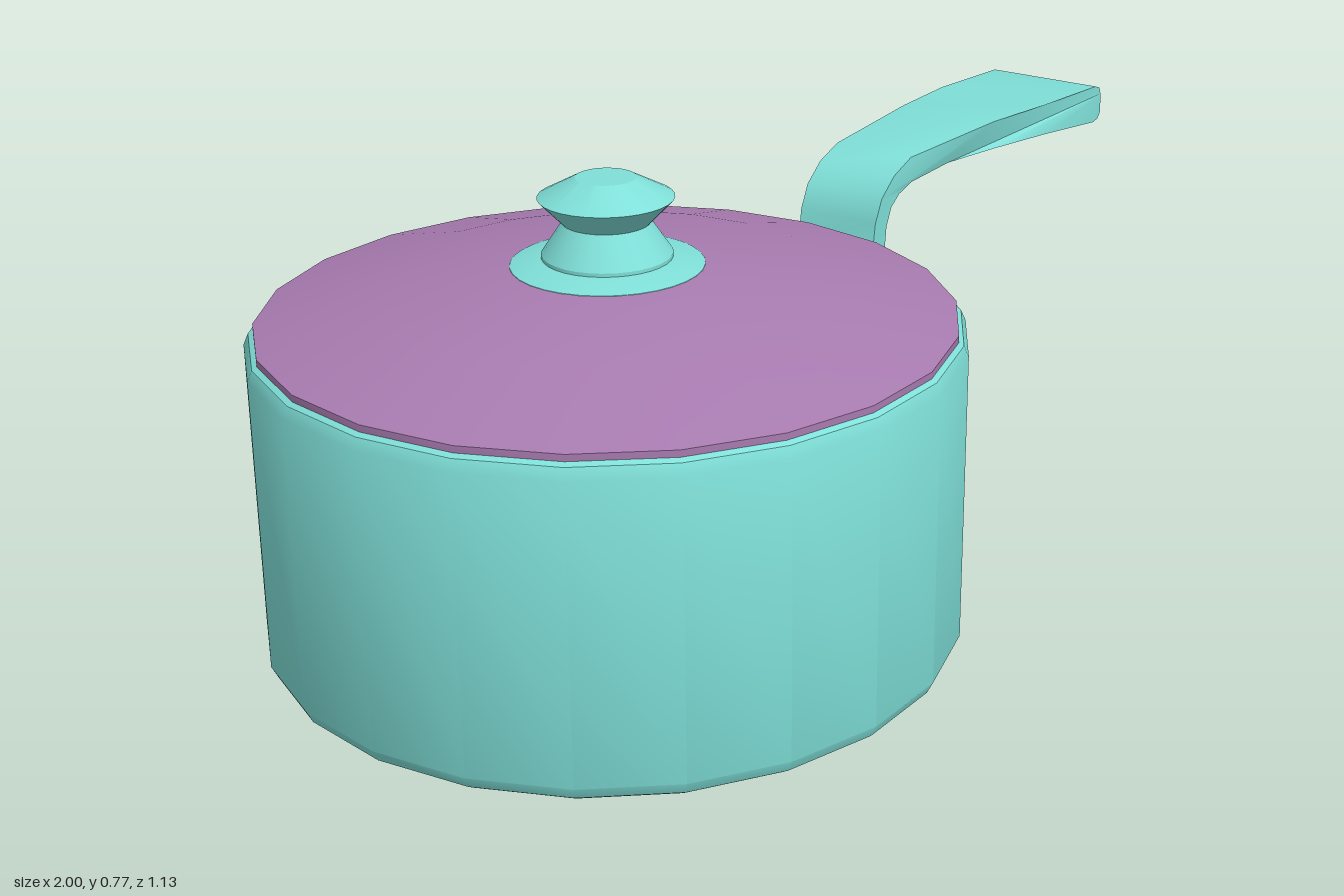
import * as THREE from 'three';
import { toCreasedNormals } from 'three/addons/utils/BufferGeometryUtils.js';

const teal = new THREE.MeshStandardMaterial({ color: 0x7fdfd8 });
const purple = new THREE.MeshStandardMaterial({ color: 0xa87bb0 });
const POT_X = -0.427;

// Turned part around the pot axis, from a profile of [radius, y]
function turned(name, profile, sides, material, crease = 0.5) {
  const points = profile.map(([r, y]) => new THREE.Vector2(r, y));
  const geometry = new THREE.LatheGeometry(points, sides, Math.PI / 2);
  const mesh = new THREE.Mesh(toCreasedNormals(geometry, crease), material);
  mesh.name = name;
  mesh.position.x = POT_X;
  return mesh;
}

// Half width of the handle along its length
function handleHalfWidth(x) {
  const stops = [[0, 0.08], [0.47, 0.08], [0.6, 0.1], [0.77, 0.116], [1.1, 0.116]];
  const i = stops.findIndex(([s]) => x < s);
  const [x0, w0] = stops[i - 1];
  const [x1, w1] = stops[i];
  return THREE.MathUtils.mapLinear(x, x0, x1, w0, w1);
}

// S-bent handle: side outline extruded, then widened towards the grip
function makeHandle() {
  const outline = [
    [0.12, 0.402], [0.165, 0.404], [0.21, 0.418], [0.242, 0.435], [0.256, 0.465],
    [0.262, 0.52], [0.277, 0.553], [0.303, 0.572], [0.345, 0.584], [0.47, 0.589],
    [0.6, 0.588], [0.77, 0.579], [0.97, 0.557], [0.99, 0.56], [1, 0.573],
    [0.998, 0.61], [0.992, 0.624], [0.975, 0.63], [0.77, 0.638], [0.6, 0.641],
    [0.47, 0.639], [0.34, 0.631], [0.285, 0.61], [0.245, 0.577], [0.225, 0.535],
    [0.217, 0.48], [0.208, 0.463], [0.185, 0.452], [0.12, 0.45],
  ].map(([x, y]) => new THREE.Vector2(x, y));
  const geometry = new THREE.ExtrudeGeometry(new THREE.Shape(outline), { depth: 1, bevelEnabled: false });
  const pos = geometry.attributes.position;
  for (let i = 0; i < pos.count; i++) {
    pos.setZ(i, (pos.getZ(i) - 0.5) * 2 * handleHalfWidth(pos.getX(i)));
  }
  const mesh = new THREE.Mesh(toCreasedNormals(geometry, 0.8), teal);
  mesh.name = 'handle';
  return mesh;
}

export function createModel() {
  const group = new THREE.Group();
  group.name = 'saucepan';

  // Pot with a recessed underside and bevelled edges
  group.add(turned('pot', [
    [0, 0.2], [0.535, 0.2], [0.535, 0], [0.548, 0], [0.563, 0.01], [0.573, 0.03],
    [0.573, 0.515], [0.565, 0.533], [0.55, 0.542], [0.5, 0.542],
  ], 22, teal));

  // Shallow domed lid
  group.add(turned('lid', [
    [0.5, 0.538], [0.557, 0.538], [0.557, 0.549], [0.37, 0.598], [0.15, 0.632], [0, 0.636],
  ], 22, purple));

  // Flange and flared knob on the lid
  group.add(turned('lidFlange', [
    [0.156, 0.626], [0.154, 0.632], [0.11, 0.644], [0, 0.646],
  ], 32, teal));
  group.add(turned('lidKnob', [
    [0.104, 0.642], [0.104, 0.65], [0.07, 0.701], [0.108, 0.741], [0.048, 0.773], [0, 0.773],
  ], 32, teal, 0.4));

  group.add(makeHandle());
  return group;
}
